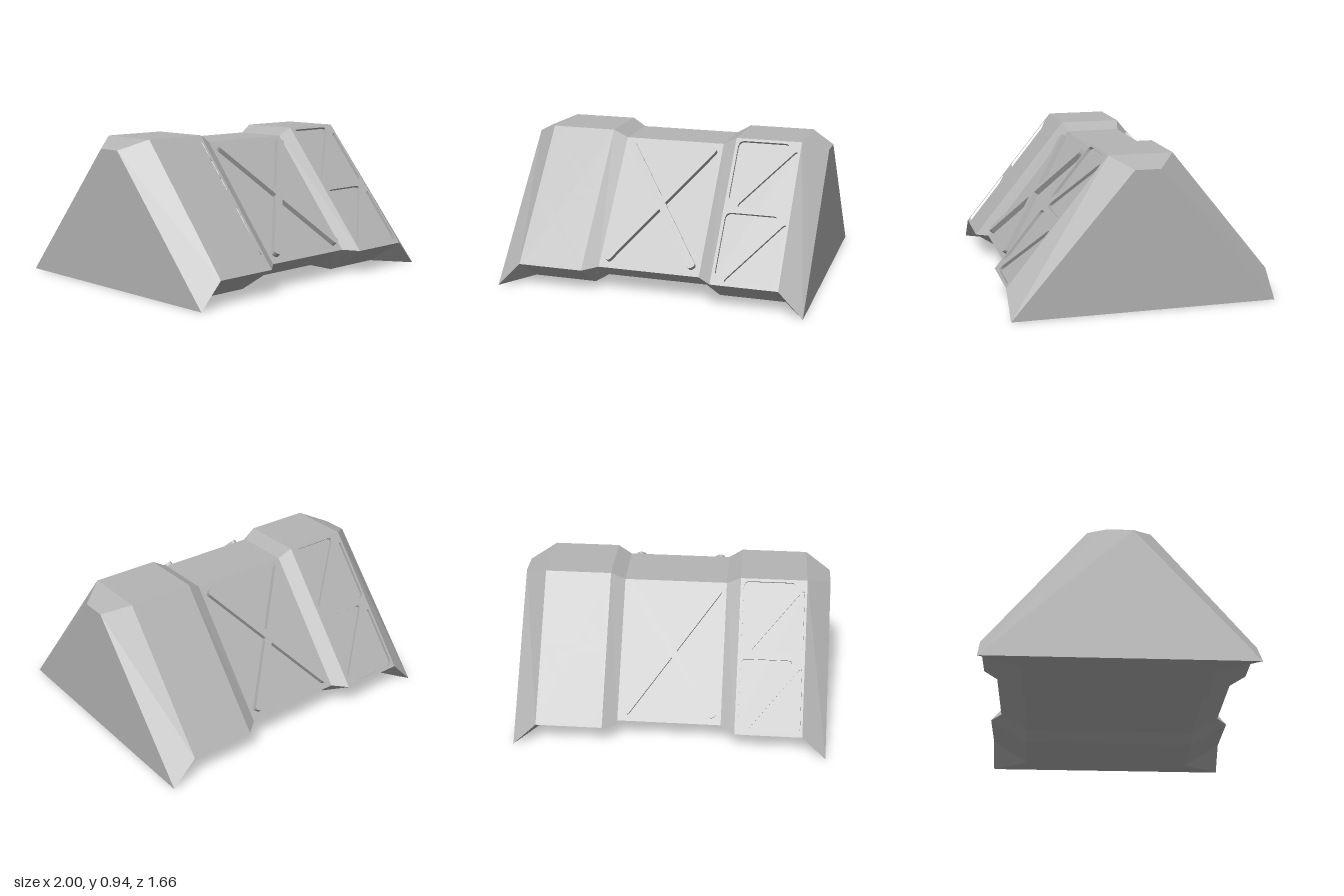
import * as THREE from 'three';

// Cross-sections along x: [x, topZ, topY, kneeZ, kneeY, baseZ, baseY]
const OUTER = [0.2, 0.935, 0.83, 0.16, 0.58, 0];
const INNER = [0.18, 0.885, 0.755, 0.17, 0.57, 0.055];
const END = [0.08, 0.87, 0.83, 0, 0.83, 0];
const HALF = [[0.33, ...INNER], [0.42, ...OUTER], [0.845, ...OUTER], [1, ...END]];
const POCKET_DEPTH = 0.02;

// Closed loop of six corners for one cross-section
function ring([x, tz, ty, kz, ky, bz, by]) {
  return [[tz, ty], [kz, ky], [bz, by], [-bz, by], [-kz, ky], [-tz, ty]]
    .map(([z, y]) => new THREE.Vector3(x, y, z));
}

function bodyGeometry() {
  const mirrored = HALF.map(([x, ...s]) => [-x, ...s]).reverse();
  const rings = [...mirrored, ...HALF].map(ring);
  const pts = [];
  const tri = (a, b, c) => {
    if (new THREE.Triangle(a, b, c).getArea() > 1e-6) pts.push(a, b, c);
  };
  for (let r = 0; r < rings.length - 1; r++) {
    const a = rings[r], b = rings[r + 1];
    for (let i = 0; i < 6; i++) {
      // the slopes of the side blocks are filled by pocketed panels
      if ((r === 1 || r === 5) && (i === 0 || i === 4)) continue;
      const j = (i + 1) % 6;
      tri(a[i], a[j], b[j]);
      tri(a[i], b[j], b[i]);
    }
  }
  const first = rings[0], last = rings[rings.length - 1];
  for (let i = 1; i < 5; i++) {
    tri(last[0], last[i], last[i + 1]);
    tri(first[0], first[i + 1], first[i]);
  }
  const g = new THREE.BufferGeometry().setFromPoints(pts);
  g.computeVertexNormals();
  return g;
}

// Polygon with each corner rounded by a given cut length
function rounded(path, corners, cut) {
  const p = corners.map(([x, y]) => new THREE.Vector2(x, y));
  p.forEach((c, i) => {
    const prev = p[(i + p.length - 1) % p.length], next = p[(i + 1) % p.length];
    const s = c.clone().add(prev.clone().sub(c).setLength(cut));
    const e = c.clone().add(next.clone().sub(c).setLength(cut));
    if (i === 0) path.moveTo(s.x, s.y); else path.lineTo(s.x, s.y);
    path.quadraticCurveTo(c.x, c.y, e.x, e.y);
  });
  path.closePath();
  return path;
}

// Side-block slope with four triangular pockets; y runs up the slope
function panelGeometry(side, length) {
  const rect = [[0.42, 0], [0.845, 0], [0.845, length], [0.42, length]];
  const shape = new THREE.Shape(rect.map(([x, y]) => new THREE.Vector2(side * x, y)));
  for (const v of [0.02, 0.52]) {
    const lower = [[0.83, v], [0.83, v + 0.425], [0.49, v]];
    const upper = [[0.44, v + 0.46], [0.44, v + 0.035], [0.78, v + 0.46]];
    for (const t of [lower, upper]) {
      shape.holes.push(rounded(new THREE.Path(), t.map(([x, y]) => [side * x, y]), 0.04));
    }
  }
  const g = new THREE.ExtrudeGeometry(shape, { depth: POCKET_DEPTH, bevelEnabled: false, curveSegments: 4 });
  g.translate(0, 0, -POCKET_DEPTH);
  // keep the hidden lower edge inside the undercut
  const pos = g.attributes.position;
  for (let i = 0; i < pos.count; i++) {
    if (pos.getZ(i) < -0.001 && pos.getY(i) < 0.003) pos.setY(i, 0.003);
  }
  return g;
}

// Group whose y axis climbs the slope and whose z axis points out of it
function slopeFrame([tz, ty, kz, ky]) {
  const up = new THREE.Vector3(0, ty - ky, tz - kz);
  const length = up.length();
  up.normalize();
  const x = new THREE.Vector3(1, 0, 0);
  const frame = new THREE.Group();
  frame.quaternion.setFromRotationMatrix(
    new THREE.Matrix4().makeBasis(x, up, x.clone().cross(up)));
  frame.position.set(0, ky, kz);
  return { frame, length };
}

export function createModel() {
  const gray = new THREE.MeshStandardMaterial({ color: 0xb4b4b4 });
  gray.name = 'concreteGray';
  const add = (parent, geometry, name) => {
    const mesh = new THREE.Mesh(geometry, gray);
    mesh.name = name;
    parent.add(mesh);
    return mesh;
  };

  const model = new THREE.Group();
  model.name = 'barrier';
  add(model, bodyGeometry(), 'body');

  // One slope's details, then a half turn for the opposite slope
  const slope = new THREE.Group();
  slope.name = 'frontSlope';

  const outer = slopeFrame(OUTER);
  outer.frame.name = 'pocketPanels';
  for (const side of [-1, 1]) {
    add(outer.frame, panelGeometry(side, outer.length), 'pocketPanel');
    const floor = add(outer.frame, new THREE.PlaneGeometry(0.42, outer.length - 0.01), 'pocketFloor');
    floor.position.set(side * 0.6325, outer.length / 2, -POCKET_DEPTH + 0.0005);
  }

  // Raised crossed bars on the recessed middle
  const inner = slopeFrame(INNER);
  inner.frame.name = 'crossBrace';
  const w = 0.025, l = 0.5;
  const bar = new THREE.ExtrudeGeometry(
    rounded(new THREE.Shape(), [[-w, -l], [w, -l], [w, l], [-w, l]], 0.018),
    { depth: 0.045, bevelEnabled: false, curveSegments: 2 });
  for (const side of [-1, 1]) {
    const mesh = add(inner.frame, bar, 'crossBar');
    mesh.position.set(0, inner.length / 2, -0.01);
    mesh.rotation.z = side * Math.atan2(0.285, 0.41);
  }

  slope.add(outer.frame, inner.frame);
  const back = slope.clone();
  back.name = 'backSlope';
  back.rotation.y = Math.PI;
  model.add(slope, back);
  return model;
}
